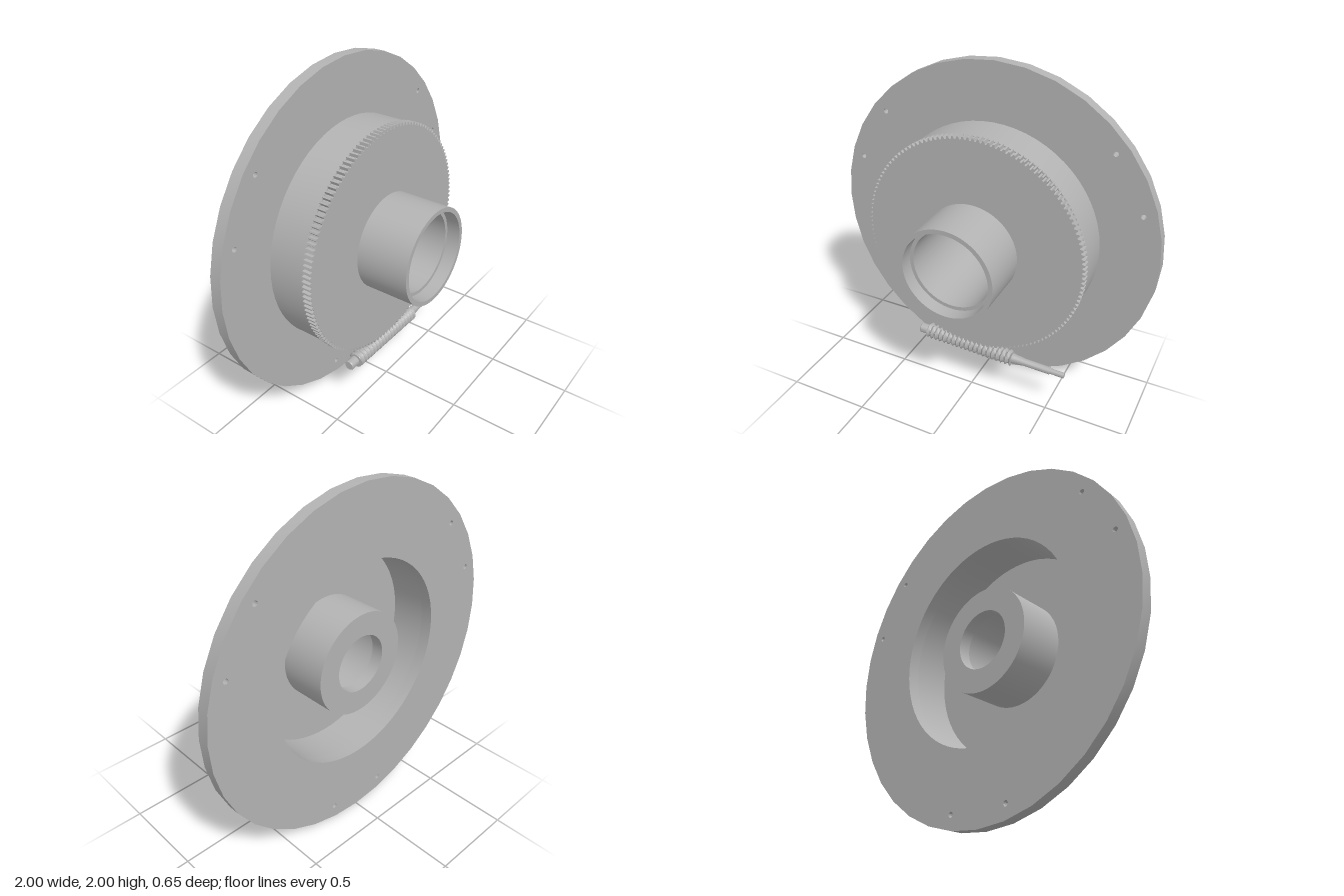
import * as THREE from 'three';
import { toCreasedNormals } from 'three/addons/utils/BufferGeometryUtils.js';

const steel = new THREE.MeshStandardMaterial({ color: 0xb2b2b2 });
steel.name = 'steel grey';

function part(name, geometry, parent, crease = 0.5) {
  const mesh = new THREE.Mesh(toCreasedNormals(geometry, crease), steel);
  mesh.name = name;
  parent.add(mesh);
  return mesh;
}

function circle(radius, sides, x = 0, y = 0) {
  return Array.from({ length: sides }, (_, i) => {
    const a = (i / sides) * Math.PI * 2;
    return new THREE.Vector2(x + radius * Math.cos(a), y + radius * Math.sin(a));
  });
}

// Flat plate between two z values
function plate(outline, holes, back, front) {
  const shape = new THREE.Shape(outline);
  holes.forEach((h) => shape.holes.push(new THREE.Path(h)));
  return new THREE.ExtrudeGeometry(shape, { depth: front - back, bevelEnabled: false })
    .translate(0, 0, back);
}

// Revolved profile of [radius, z] pairs around the z axis
function turned(profile, sides) {
  return new THREE.LatheGeometry(profile.map(([r, z]) => new THREE.Vector2(r, z)), sides)
    .rotateX(Math.PI / 2);
}

// Cylinder whose radius follows a triangular helical ridge
function wormThread(length, root, tip, turns) {
  const geometry = new THREE.CylinderGeometry(1, 1, length, 24, turns * 6);
  const p = geometry.attributes.position;
  for (let i = 0; i < p.count; i++) {
    const x = p.getX(i), z = p.getZ(i);
    const phase = (p.getY(i) / length) * turns + Math.atan2(x, z) / (Math.PI * 2) + 100;
    const ridge = 1 - Math.abs(2 * (phase % 1) - 1);
    const r = root + (tip - root) * ridge;
    p.setX(i, x * r);
    p.setZ(i, z * r);
  }
  return geometry;
}

export function createModel() {
  const model = new THREE.Group();
  model.name = 'wormWheelAssembly';
  const wheel = new THREE.Group();
  wheel.name = 'wheel';
  wheel.position.y = 1;
  model.add(wheel);

  // Mounting flange with three pairs of bolt holes
  const holes = [circle(0.59, 64)];
  for (const middle of [30, 150, 270]) {
    for (const side of [-11.5, 11.5]) {
      const a = THREE.MathUtils.degToRad(middle + side);
      holes.push(circle(0.015, 12, 0.922 * Math.cos(a), 0.922 * Math.sin(a)));
    }
  }
  part('flange', plate(circle(1, 36), holes, -0.325, -0.257), wheel);

  // Drum, web and stepped hollow hub
  part('drumAndHub', turned([
    [0.59, -0.257], [0.662, -0.257], [0.662, -0.038], [0.64, -0.038], [0.64, 0],
    [0.283, 0], [0.283, 0.325], [0.257, 0.325], [0.257, 0.245], [0.235, 0.245],
    [0.235, -0.255], [0.167, -0.255], [0.167, -0.325], [0.3, -0.325],
    [0.3, -0.05], [0.59, -0.05], [0.59, -0.257],
  ], 64), wheel);

  // Toothed rim at the front of the drum
  const teeth = 140;
  const rim = [];
  for (let i = 0; i < teeth; i++) {
    [[0, 0.654], [0.3, 0.654], [0.5, 0.67], [0.8, 0.67]].forEach(([step, r]) => {
      const a = ((i + step) / teeth) * Math.PI * 2;
      rim.push(new THREE.Vector2(r * Math.cos(a), r * Math.sin(a)));
    });
  }
  part('toothedRim', plate(rim, [circle(0.27, 64)], -0.04, 0.012), wheel, 0.2);

  // Worm lying under the rim, slightly tilted; built along its own y axis
  const worm = new THREE.Group();
  worm.name = 'worm';
  worm.position.set(0, 0.303, -0.01);
  worm.rotation.z = -Math.PI / 2 - 0.023;
  model.add(worm);
  part('wormThread', wormThread(0.57, 0.034, 0.05, 19), worm).position.y = -0.015;
  const shaft = [
    [0, -0.36], [0.026, -0.36], [0.03, -0.354], [0.03, 0.28], [0.026, 0.3],
    [0.026, 0.32], [0.022, 0.35], [0.022, 0.51], [0.017, 0.515], [0.017, 0.6], [0, 0.6],
  ].map(([r, y]) => new THREE.Vector2(r, y));
  part('wormShaft', new THREE.LatheGeometry(shaft, 24), worm);

  return model;
}
